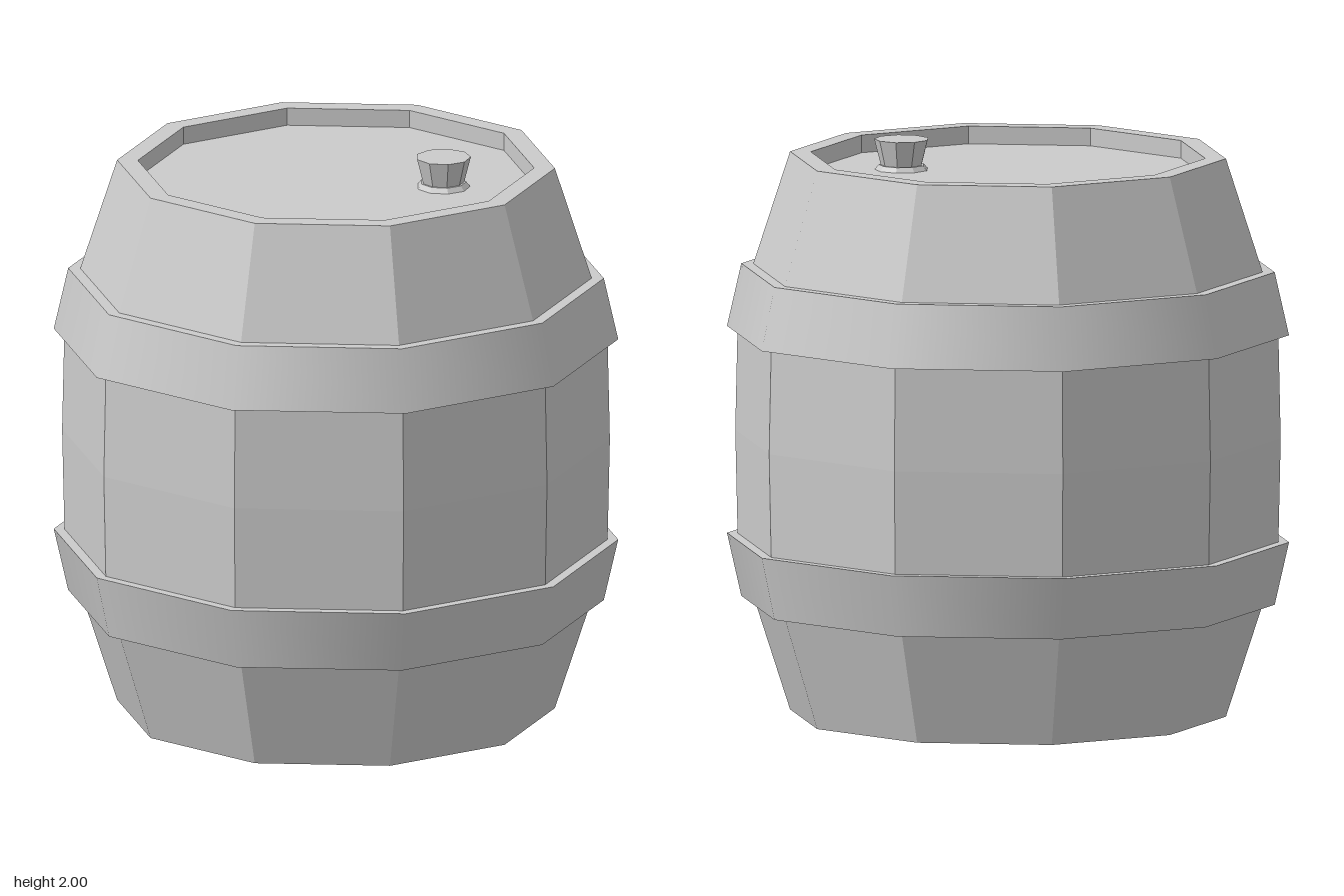
import * as THREE from 'three';

const SIDES = 10;

// Ten-sided ring of surface from [radius, height] points, with corners on the x axis
function ring(name, points, flatShading) {
  const profile = points.map(([r, y]) => new THREE.Vector2(r, y));
  const geometry = new THREE.LatheGeometry(profile, SIDES, Math.PI / 2);
  const material = new THREE.MeshStandardMaterial({
    color: 0xcccccc, flatShading, side: THREE.DoubleSide,
  });
  const mesh = new THREE.Mesh(geometry, material);
  mesh.name = name;
  return mesh;
}

// Nine-sided tapered plug piece
function plug(name, topRadius, bottomRadius, bottom, top) {
  const geometry = new THREE.CylinderGeometry(topRadius, bottomRadius, top - bottom, 9, 1, false, Math.PI / 2);
  const mesh = new THREE.Mesh(geometry, new THREE.MeshStandardMaterial({ color: 0xcccccc, flatShading: true }));
  mesh.name = name;
  mesh.position.y = (top + bottom) / 2;
  return mesh;
}

export function createModel() {
  const barrel = new THREE.Group();
  barrel.name = 'barrel';

  // Single-skin body, open below; each stave section carries the lips of the hoops beside it
  barrel.add(
    ring('lowerStaves', [[0.76, 0], [0.888, 0.395], [0.93, 0.395]], true),
    ring('lowerHoop', [[0.93, 0.395], [0.98, 0.615]], false),
    ring('middleStaves', [[0.98, 0.615], [0.943, 0.615], [0.951, 0.977], [0.943, 1.34], [0.98, 1.34]], true),
    ring('upperHoop', [[0.98, 1.34], [0.93, 1.56]], false),
    ring('upperStaves', [[0.93, 1.56], [0.888, 1.56], [0.76, 1.955]], true),
    ring('rim', [[0.76, 1.955], [0.688, 1.955], [0.688, 1.893]], true),
    ring('lid', [[0.688, 1.893], [0, 1.893]], true),
  );

  // Bung in the lid, with a low collar
  const bung = new THREE.Group();
  bung.name = 'bung';
  bung.position.set(0.325, 0, -0.19);
  bung.add(
    plug('bungCollar', 0.08, 0.096, 1.89, 1.91),
    plug('bungStopper', 0.096, 0.068, 1.89, 2.0),
  );
  barrel.add(bung);

  return barrel;
}
